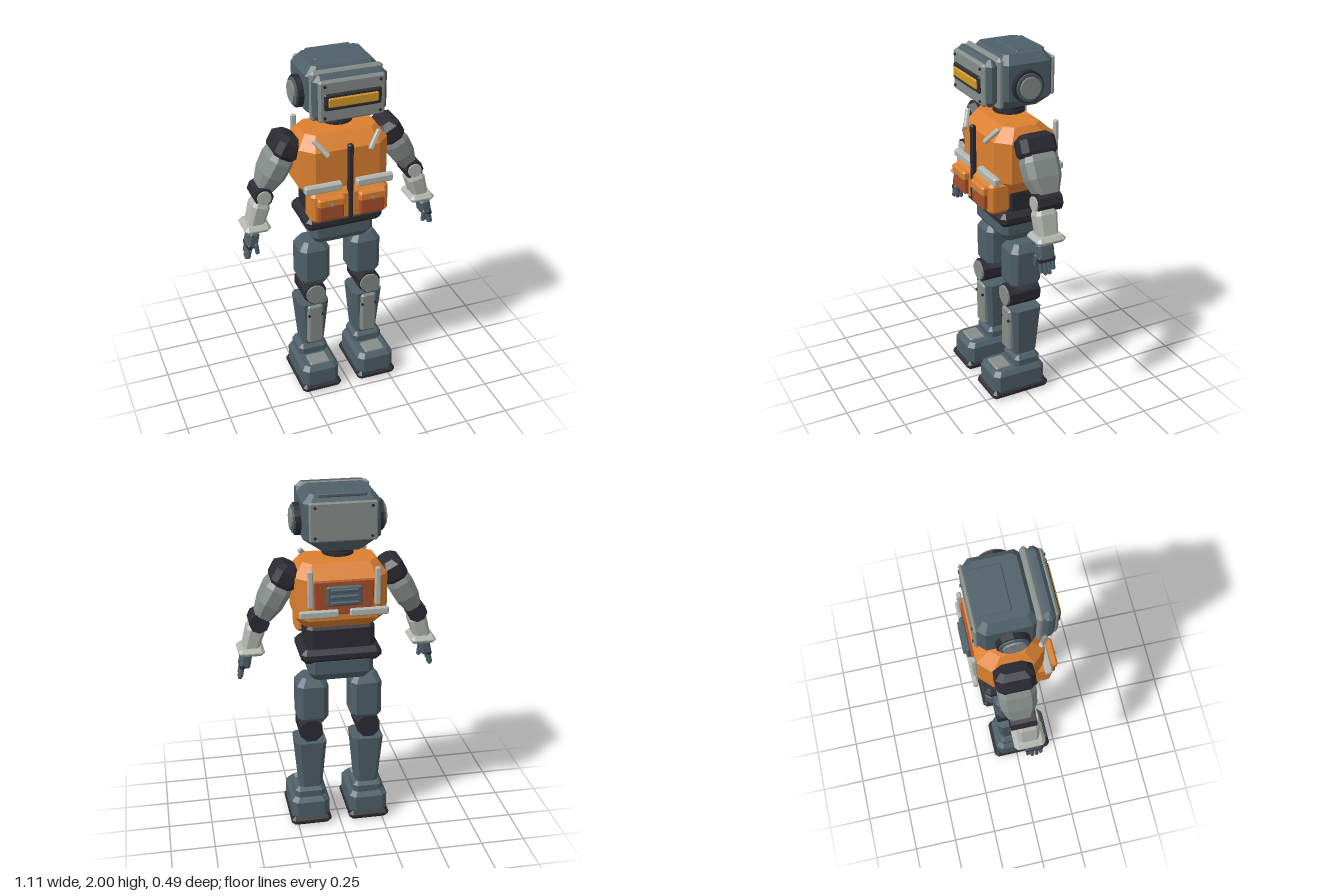
import * as THREE from 'three';
import { ConvexGeometry } from 'three/addons/geometries/ConvexGeometry.js';

const mat = (name, color) => {
  const m = new THREE.MeshStandardMaterial({ color });
  m.name = name;
  m.flatShading = true;
  return m;
};

export function createModel() {
  const slate = mat('slate', 0x4f6069), charcoal = mat('charcoal', 0x2c2b33),
    orange = mat('orange', 0xdc8030), rust = mat('rust', 0xa8502a),
    pale = mat('pale grey', 0xb4b7b0), grey = mat('grey', 0x868d8a), amber = mat('amber', 0xd39a28);

  const root = new THREE.Group();
  root.name = 'robot';
  const group = (name, parent = root, x = 0, y = 0, z = 0, rz = 0) => {
    const g = new THREE.Group();
    g.name = name;
    g.position.set(x, y, z);
    g.rotation.z = rz;
    parent.add(g);
    return g;
  };
  const add = (parent, name, geo, m, x = 0, y = 0, z = 0) => {
    const mesh = new THREE.Mesh(geo, m);
    mesh.name = name;
    mesh.position.set(x, y, z);
    parent.add(mesh);
    return mesh;
  };
  // Faceted solid from octagonal rings: [y, half width, half depth, chamfer, z centre]
  const hull = (rings) => {
    const pts = [];
    for (const [y, w, d, c, zc = 0] of rings)
      for (const sx of [-1, 1]) for (const sz of [-1, 1])
        pts.push(new THREE.Vector3(sx * w, y, zc + sz * (d - c)), new THREE.Vector3(sx * (w - c), y, zc + sz * d));
    return new ConvexGeometry(pts);
  };
  // Box with every edge chamfered
  const cbox = (w, h, d, c = 0.01) => hull([
    [h / 2, w / 2 - c, d / 2 - c, c * 0.3], [h / 2 - c, w / 2, d / 2, c],
    [c - h / 2, w / 2, d / 2, c], [-h / 2, w / 2 - c, d / 2 - c, c * 0.3]]);
  const disc = (r, len, axis, n = 16) => {
    const g = new THREE.CylinderGeometry(r, r, len, n);
    if (axis === 'x') g.rotateZ(Math.PI / 2);
    if (axis === 'z') g.rotateX(Math.PI / 2);
    return g;
  };

  // Head
  const head = group('head');
  add(head, 'skull', hull([[1.995, 0.165, 0.115, 0.02, -0.035], [1.95, 0.205, 0.15, 0.035, -0.035],
    [1.76, 0.205, 0.15, 0.035, -0.035], [1.69, 0.11, 0.115, 0.02, -0.035]]), slate);
  add(head, 'topPanel', cbox(0.25, 0.02, 0.165, 0.005), slate, 0, 1.99, -0.085);
  add(head, 'faceFlange', cbox(0.395, 0.27, 0.04, 0.015), grey, 0, 1.855, 0.12);
  add(head, 'faceFrame', cbox(0.4, 0.25, 0.08, 0.03), slate, 0, 1.86, 0.165);
  add(head, 'facePlate', cbox(0.36, 0.225, 0.03, 0.012), grey, 0, 1.855, 0.2);
  add(head, 'visorFrame', cbox(0.31, 0.09, 0.02, 0.008), charcoal, 0, 1.855, 0.218);
  add(head, 'visor', cbox(0.27, 0.052, 0.02, 0.006), amber, 0, 1.855, 0.226);
  add(head, 'backPlate', cbox(0.36, 0.21, 0.02, 0.008), grey, 0, 1.858, -0.191);
  for (const s of [-1, 1]) {
    add(head, 'earRim', disc(0.086, 0.04, 'x'), charcoal, s * 0.215, 1.835, -0.02);
    add(head, 'earRing', disc(0.075, 0.03, 'x'), slate, s * 0.23, 1.835, -0.02);
    add(head, 'earCap', disc(0.058, 0.025, 'x'), grey, s * 0.243, 1.835, -0.02);
    for (const dy of [-1, 1]) {
      add(head, 'faceScrew', disc(0.008, 0.01, 'z', 8), charcoal, s * 0.15, 1.855 + dy * 0.085, 0.217);
      add(head, 'backScrew', disc(0.008, 0.01, 'z', 8), charcoal, s * 0.15, 1.858 + dy * 0.08, -0.202);
    }
  }
  // Neck rings
  add(head, 'neckCore', disc(0.07, 0.06, 'y'), charcoal, 0, 1.67, -0.025);
  for (const y of [1.673, 1.65]) add(head, 'neckRing', disc(0.087, 0.018, 'y'), charcoal, 0, y, -0.025);

  // Torso
  const torso = group('torso');
  add(torso, 'chest', hull([[1.615, 0.2, 0.107, 0.045, -0.018], [1.545, 0.25, 0.178, 0.07, -0.022],
    [1.32, 0.25, 0.178, 0.07, -0.022], [1.24, 0.19, 0.11, 0.04, 0]]), orange);
  add(torso, 'belly', cbox(0.44, 0.18, 0.125, 0.02), orange, 0, 1.235, 0.137);
  add(torso, 'zip', cbox(0.03, 0.44, 0.03, 0.008), charcoal, 0, 1.37, 0.19);
  add(torso, 'waist', cbox(0.38, 0.2, 0.22, 0.03), charcoal, 0, 1.17, -0.03);
  add(torso, 'belt', cbox(0.445, 0.08, 0.3, 0.026), charcoal, 0, 1.09, -0.02);
  add(torso, 'hips', hull([[1.06, 0.18, 0.13, 0.03, -0.03], [0.985, 0.18, 0.13, 0.03, -0.03],
    [0.935, 0.145, 0.09, 0.02, -0.03]]), slate);
  for (const s of [-1, 1]) {
    add(torso, 'chestBar', cbox(0.21, 0.046, 0.04, 0.008), pale, s * 0.145, 1.345, 0.17);
    add(torso, 'pocket', cbox(0.14, 0.1, 0.04, 0.008), rust, s * 0.117, 1.222, 0.205);
    add(torso, 'pocketFlap', cbox(0.155, 0.055, 0.045, 0.01), orange, s * 0.117, 1.28, 0.21);
    add(torso, 'pocketButton', disc(0.009, 0.014, 'z', 8), grey, s * 0.117, 1.27, 0.236);
    // Front strap lies along the sloped top edge of the chest
    const strap = add(torso, 'frontStrap', cbox(0.026, 0.12, 0.022, 0.005), pale, s * 0.15, 1.572, 0.155);
    strap.quaternion.setFromUnitVectors(new THREE.Vector3(0, 1, 0),
      new THREE.Vector3(s * 0.07, 0.085, -0.05).normalize());
    add(torso, 'backStrap', cbox(0.03, 0.21, 0.025, 0.006), pale, s * 0.18, 1.505, -0.212);
    add(torso, 'backBar', cbox(0.21, 0.042, 0.028, 0.007), pale, s * 0.135, 1.367, -0.218);
  }
  add(torso, 'backPanel', cbox(0.32, 0.19, 0.02, 0.006), rust, 0, 1.45, -0.203);
  add(torso, 'vent', cbox(0.19, 0.11, 0.025, 0.008), slate, 0, 1.465, -0.222);
  for (const y of [1.43, 1.465, 1.5]) add(torso, 'ventSlat', cbox(0.15, 0.018, 0.02, 0.004), slate, 0, y, -0.238);

  for (const s of [-1, 1]) {
    const side = s > 0 ? 'left' : 'right';

    // Upper arm, hung from the shoulder and swung outward
    const arm = group(side + 'UpperArm', root, s * 0.285, 1.55, -0.028, s * 0.5);
    add(arm, 'shoulder', hull([[0.05, 0.04, 0.07, 0.02], [0.02, 0.068, 0.103, 0.03],
      [-0.05, 0.068, 0.103, 0.03], [-0.08, 0.055, 0.085, 0.025]]), charcoal);
    add(arm, 'upperArmShell', hull([[-0.055, 0.06, 0.085, 0.025], [-0.1, 0.07, 0.1, 0.035],
      [-0.19, 0.065, 0.095, 0.03], [-0.275, 0.045, 0.065, 0.02]]), grey);

    // Elbow
    add(root, side + 'Elbow', disc(0.055, 0.14, 'z', 8), charcoal, s * 0.437, 1.28, -0.018);
    add(root, side + 'ElbowCap', disc(0.04, 0.015, 'z', 12), pale, s * 0.437, 1.28, 0.054);

    // Forearm with cuff
    const fore = group(side + 'Forearm', root, s * 0.437, 1.28, 0.005, s * 0.28);
    add(fore, 'forearmShell', hull([[-0.035, 0.042, 0.05, 0.015], [-0.06, 0.05, 0.062, 0.02],
      [-0.17, 0.045, 0.055, 0.018]]), pale);
    add(root, side + 'Cuff', cbox(0.145, 0.042, 0.17, 0.018), pale, s * 0.483, 1.103, 0.005);

    // Hand with four fingers and a thumb
    const hand = group(side + 'Hand', root, s * 0.5, 1.09, 0.03, s * 0.2);
    add(hand, 'palm', cbox(0.06, 0.1, 0.095, 0.014), slate, 0, -0.055, 0);
    for (let i = 0; i < 4; i++) {
      const len = [0.07, 0.085, 0.085, 0.065][i];
      add(hand, 'finger', cbox(0.022, len, 0.02, 0.005), slate, s * 0.012, -0.095 - len / 2, 0.036 - i * 0.024);
    }
    add(hand, 'knuckles', cbox(0.03, 0.03, 0.1, 0.007), charcoal, s * 0.014, -0.095, 0);
    const thumb = add(hand, 'thumb', cbox(0.022, 0.07, 0.024, 0.006), slate, s * -0.025, -0.1, 0.042);
    thumb.rotation.z = s * -0.3;

    // Thigh and knee
    const leg = group(side + 'Leg', root, s * 0.165);
    add(leg, 'thigh', hull([[0.93, 0.055, 0.06, 0.02, -0.022], [0.885, 0.088, 0.092, 0.03, -0.022],
      [0.69, 0.088, 0.092, 0.03, -0.022], [0.64, 0.06, 0.06, 0.02, -0.022]]), slate).position.x = s * -0.013;
    add(leg, 'knee', disc(0.069, 0.19, 'z', 8).rotateZ(Math.PI / 8), charcoal, 0, 0.61, -0.013);
    add(leg, 'kneeCap', disc(0.058, 0.016, 'z', 14), grey, 0, 0.61, 0.085);

    // Shin with front guard
    add(leg, 'shin', hull([[0.53, 0.09, 0.09, 0.025, -0.02], [0.235, 0.064, 0.07, 0.02, -0.022]]), slate);
    add(leg, 'shinGuard', cbox(0.095, 0.265, 0.04, 0.012), grey, 0, 0.392, 0.063);
    for (const dx of [-0.04, 0.04]) add(leg, 'guardScrew', disc(0.008, 0.012, 'z', 8), charcoal, dx, 0.46, 0.083);

    // Foot
    const foot = group(side + 'Foot', leg, s * 0.007);
    add(foot, 'ankle', cbox(0.175, 0.08, 0.16, 0.022), slate, 0, 0.192, -0.02);
    add(foot, 'boot', hull([[0.17, 0.09, 0.14, 0.025, 0.04], [0.145, 0.11, 0.162, 0.03, 0.04],
      [0.045, 0.11, 0.162, 0.03, 0.04]]), slate);
    add(foot, 'toePlate', cbox(0.12, 0.02, 0.095, 0.007), grey, 0, 0.174, 0.125);
    add(foot, 'sole', cbox(0.236, 0.055, 0.356, 0.02), charcoal, 0, 0.0275, 0.038);
  }
  return root;
}
